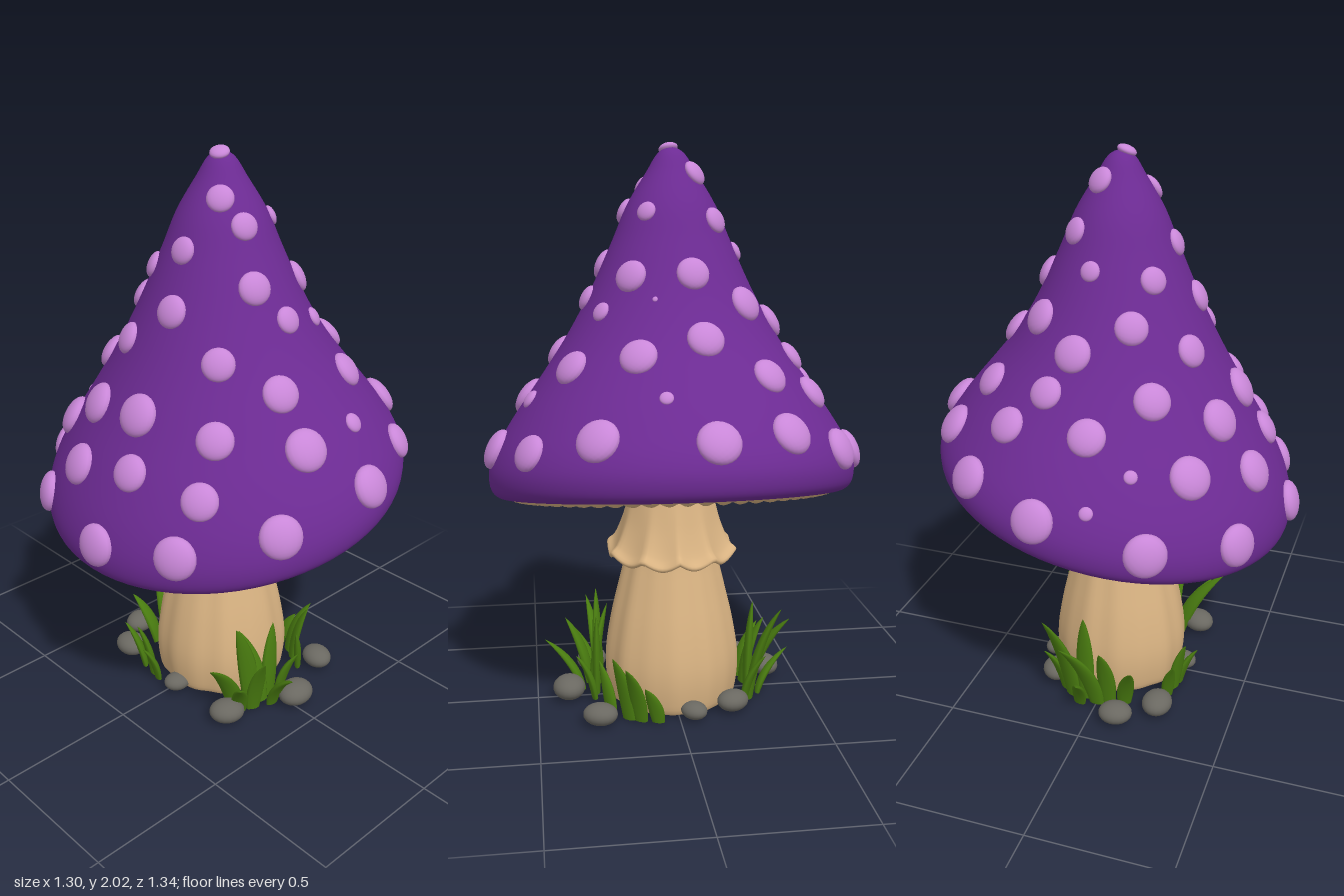
import * as THREE from 'three';

const mat = (name, color) => {
  const m = new THREE.MeshStandardMaterial({ color });
  m.name = name;
  return m;
};

// Closed-around surface: fn(angle, v) gives a point; v runs from the top down and then inwards
function sweep(nu, nv, fn) {
  const pos = [], idx = [];
  for (let j = 0; j <= nv; j++)
    for (let i = 0; i < nu; i++) {
      const p = fn((i / nu) * Math.PI * 2, j / nv);
      pos.push(p.x, p.y, p.z);
    }
  for (let j = 0; j < nv; j++)
    for (let i = 0; i < nu; i++) {
      const a = j * nu + i, b = j * nu + ((i + 1) % nu);
      idx.push(a, b, a + nu, b, b + nu, a + nu);
    }
  const g = new THREE.BufferGeometry();
  g.setAttribute('position', new THREE.Float32BufferAttribute(pos, 3));
  g.setIndex(idx);
  g.computeVertexNormals();
  return g;
}

const curve = (pts) => new THREE.CatmullRomCurve3(pts.map((p) => new THREE.Vector3(p[0], p[1], p[2] || 0)));

// Profiles hold radius, height and sideways tilt
const capCurve = curve([
  [0, 2, 0], [0.04, 1.98, 0], [0.085, 1.91, 0], [0.15, 1.8, 0], [0.2, 1.68, 0], [0.28, 1.5, 0.02],
  [0.36, 1.35, 0.06], [0.45, 1.21, 0.1], [0.55, 1.06, 0.13], [0.615, 0.94, 0.16], [0.635, 0.86, 0.18],
  [0.625, 0.8, 0.19], [0.595, 0.775, 0.2], [0.56, 0.79, 0.2],
]);
const gillCurve = curve([
  [0.58, 0.785], [0.55, 0.772], [0.46, 0.79], [0.35, 0.825], [0.25, 0.87], [0.18, 0.92], [0.12, 0.97],
]);
const stemCurve = curve([
  [0.17, 0.97], [0.152, 0.88], [0.15, 0.78], [0.155, 0.68], [0.165, 0.56], [0.19, 0.45],
  [0.225, 0.3], [0.245, 0.16], [0.24, 0.06], [0.225, 0.005], [0.2, 0], [0, 0],
]);
const skirtCurve = curve([
  [0.148, 0.8], [0.165, 0.73], [0.185, 0.66], [0.215, 0.59], [0.238, 0.565], [0.23, 0.552], [0.2, 0.575], [0.15, 0.6],
]);

function capPoint(a, v) {
  const p = capCurve.getPoint(Math.min(1, Math.max(0, v)));
  const x = p.x * Math.cos(a) + 0.015 * Math.min(1, p.x / 0.5);
  return new THREE.Vector3(x, p.y + p.z * x, p.x * 1.03 * Math.sin(a));
}

// Cap spots as x, z pairs, grouped by radius
const spots = [
  [0.073, [[-0.27, -0.58], [0.09, -0.635], [-0.52, -0.355], [0.6, -0.07], [-0.62, 0.045], [-0.52, 0.335],
    [0.52, 0.3], [-0.1, 0.5], [-0.27, 0.56], [0.36, -0.525], [-0.36, -0.39], [0.5, -0.32], [-0.52, -0.155],
    [-0.415, 0.045], [-0.4, -0.185], [0.09, 0.62]]],
  [0.063, [[-0.04, -0.48], [-0.215, -0.34], [0.37, -0.275], [0.21, -0.225], [0.365, -0.065], [-0.505, 0.1],
    [0.375, 0.155], [-0.325, 0.315], [-0.425, 0.35], [-0.105, 0.39], [0.245, 0.365], [0.365, 0.51],
    [0.245, -0.45], [0.055, -0.34]]],
  [0.056, [[0.125, -0.405], [-0.12, -0.265], [-0.29, -0.15], [0.25, -0.04], [-0.26, 0.04], [0.2, 0.16],
    [-0.235, 0.235], [-0.07, 0.23]]],
  [0.046, [[0.115, -0.135], [-0.16, -0.16], [0.05, -0.075], [-0.185, 0.015], [-0.08, 0.08], [-0.045, 0.155], [0.02, 0.295]]],
  [0.034, [[0.035, -0.22], [-0.015, 0.008], [0.13, 0.5], [0.185, 0.26], [0.13, 0.1]]],
  [0.023, [[-0.08, -0.6], [-0.195, -0.5], [0.495, 0.08]]],
  [0.009, [[0.28, 0.09]]],
];

// Stones as x, z, size
const stones = [
  [0.02, 0.385, 0.07], [0.25, 0.285, 0.062], [-0.24, 0.285, 0.065], [0.25, -0.05, 0.05],
  [0.2, -0.2, 0.06], [-0.1, -0.38, 0.062], [-0.23, -0.28, 0.065], [-0.25, 0.02, 0.05],
];

// Grass blades: base x, z, then tip x, y, z
const blades = [
  [-0.1, 0.27, -0.18, 0.355, 0.27], [-0.07, 0.29, -0.13, 0.31, 0.23], [-0.02, 0.28, 0, 0.31, 0.28],
  [-0.17, 0.26, -0.34, 0.27, 0.3], [-0.17, 0.28, -0.27, 0.19, 0.38], [-0.05, 0.33, -0.09, 0.19, 0.47],
  [0.03, 0.29, 0.06, 0.18, 0.36], [-0.12, 0.3, -0.15, 0.25, 0.39],
  [0.24, 0.14, 0.3, 0.22, 0.2], [0.22, 0.18, 0.24, 0.24, 0.24], [0.19, 0.24, 0.13, 0.19, 0.28], [0.26, 0.08, 0.29, 0.14, 0.13],
  [0.1, -0.28, 0.18, 0.37, -0.38], [0.05, -0.28, 0.05, 0.36, -0.3], [0, -0.3, 0.1, 0.3, -0.43],
  [-0.04, -0.28, -0.03, 0.26, -0.36], [-0.1, -0.27, -0.15, 0.2, -0.36], [0.14, -0.25, 0.2, 0.2, -0.32],
  [0.06, -0.32, 0.03, 0.16, -0.44],
  [-0.25, -0.12, -0.3, 0.22, -0.15], [-0.24, -0.18, -0.28, 0.18, -0.25], [-0.26, -0.08, -0.33, 0.16, -0.08],
];

function bladeGeometry([bx, bz, tx, ty, tz]) {
  const path = new THREE.QuadraticBezierCurve3(
    new THREE.Vector3(tx, ty, tz),
    new THREE.Vector3(bx + 0.2 * (tx - bx), ty * 0.6, bz + 0.2 * (tz - bz)),
    new THREE.Vector3(bx, 0, bz));
  const side = new THREE.Vector3(-bz, 0, bx).normalize();
  return sweep(10, 12, (a, v) => {
    const w = (0.022 + 0.045 * ty) * Math.pow(Math.sin(Math.PI * 0.72 * v), 0.8);
    const down = path.getTangent(v);
    const n = new THREE.Vector3().crossVectors(down, side).normalize();
    return path.getPoint(v).addScaledVector(side, Math.cos(a) * w).addScaledVector(n, Math.sin(a) * w * 0.45);
  });
}

export function createModel() {
  const model = new THREE.Group();
  model.name = 'mushroom';
  const purple = mat('cap purple', 0x6d2b94), lilac = mat('spot lilac', 0xc987d8);
  const tan = mat('stem tan', 0xdab483), green = mat('grass green', 0x4a7d10), grey = mat('stone grey', 0x6a6861);
  const add = (name, geo, m, parent = model) => {
    const mesh = new THREE.Mesh(geo, m);
    mesh.name = name;
    parent.add(mesh);
    return mesh;
  };
  const group = (name) => {
    const g = new THREE.Group();
    g.name = name;
    model.add(g);
    return g;
  };

  // Tilted cone cap with rolled rim
  add('cap', sweep(72, 60, capPoint), purple);

  // Rippled gills, hollowed towards the stem
  add('gills', sweep(360, 20, (a, v) => {
    const p = gillCurve.getPoint(v);
    const ripple = 0.02 * Math.sin(Math.PI * Math.min(1, v * 1.1 + 0.02));
    const x = p.x * Math.cos(a) + 0.015 * p.x / 0.58;
    const y = p.y + 0.2 * x - ripple * Math.abs(Math.sin(30 * a + 2.5 * v));
    return new THREE.Vector3(x, y, p.x * 1.03 * Math.sin(a));
  }), tan);

  // Stem with shallow vertical folds
  add('stem', sweep(72, 40, (a, v) => {
    const p = stemCurve.getPoint(v);
    const r = p.x * (1 + 0.012 * Math.sin(9 * a) + 0.01 * Math.sin(14 * a + 1));
    return new THREE.Vector3(r * Math.cos(a), p.y, r * Math.sin(a));
  }), tan);

  // Ragged skirt around the stem
  add('skirt', sweep(96, 24, (a, v) => {
    const p = skirtCurve.getPoint(v);
    const k = Math.min(1, Math.max(0, (p.x - 0.15) / 0.08));
    const wave = Math.abs(Math.sin(5 * a + 0.4 * Math.sin(2 * a)));
    const r = p.x + k * (0.008 - 0.016 * wave);
    return new THREE.Vector3(r * Math.cos(a), p.y + k * (0.014 - 0.028 * wave), r * Math.sin(a));
  }), tan);

  // Domed spots seated on the cap surface
  const spotGroup = group('spots');
  const ball = new THREE.SphereGeometry(1, 20, 14);
  for (const [size, list] of spots)
    for (const [x, z] of list) {
      let best = 0, gap = Infinity;
      const a = Math.atan2(z / 1.03, x - 0.015 * Math.min(1, Math.hypot(x, z) / 0.5));
      for (let v = 0; v < 0.74; v += 0.004) {
        const p = capPoint(a, v), d = Math.hypot(p.x - x, p.z - z);
        if (d < gap) { gap = d; best = v; }
      }
      const p = capPoint(a, best);
      const du = capPoint(a + 0.02, best + 0.001).sub(capPoint(a - 0.02, best + 0.001));
      const dv = capPoint(a, best + 0.01).sub(capPoint(a, best - 0.01));
      const n = du.cross(dv).normalize();
      const spot = add('spot', ball, lilac, spotGroup);
      spot.position.copy(p);
      spot.quaternion.setFromUnitVectors(new THREE.Vector3(0, 0, 1), n);
      spot.scale.set(size, size, size * 0.5);
    }

  // Stones around the foot
  const stoneGroup = group('stones');
  stones.forEach(([x, z, s], i) => {
    const stone = add('stone', ball, grey, stoneGroup);
    stone.position.set(x, s * 0.62, z);
    stone.scale.set(s, s * 0.62, s * 0.85);
    stone.rotation.y = i * 1.3;
  });

  // Curved grass blades in tufts
  const grass = group('grass');
  for (const b of blades) add('blade', bladeGeometry(b), green, grass);

  return model;
}
